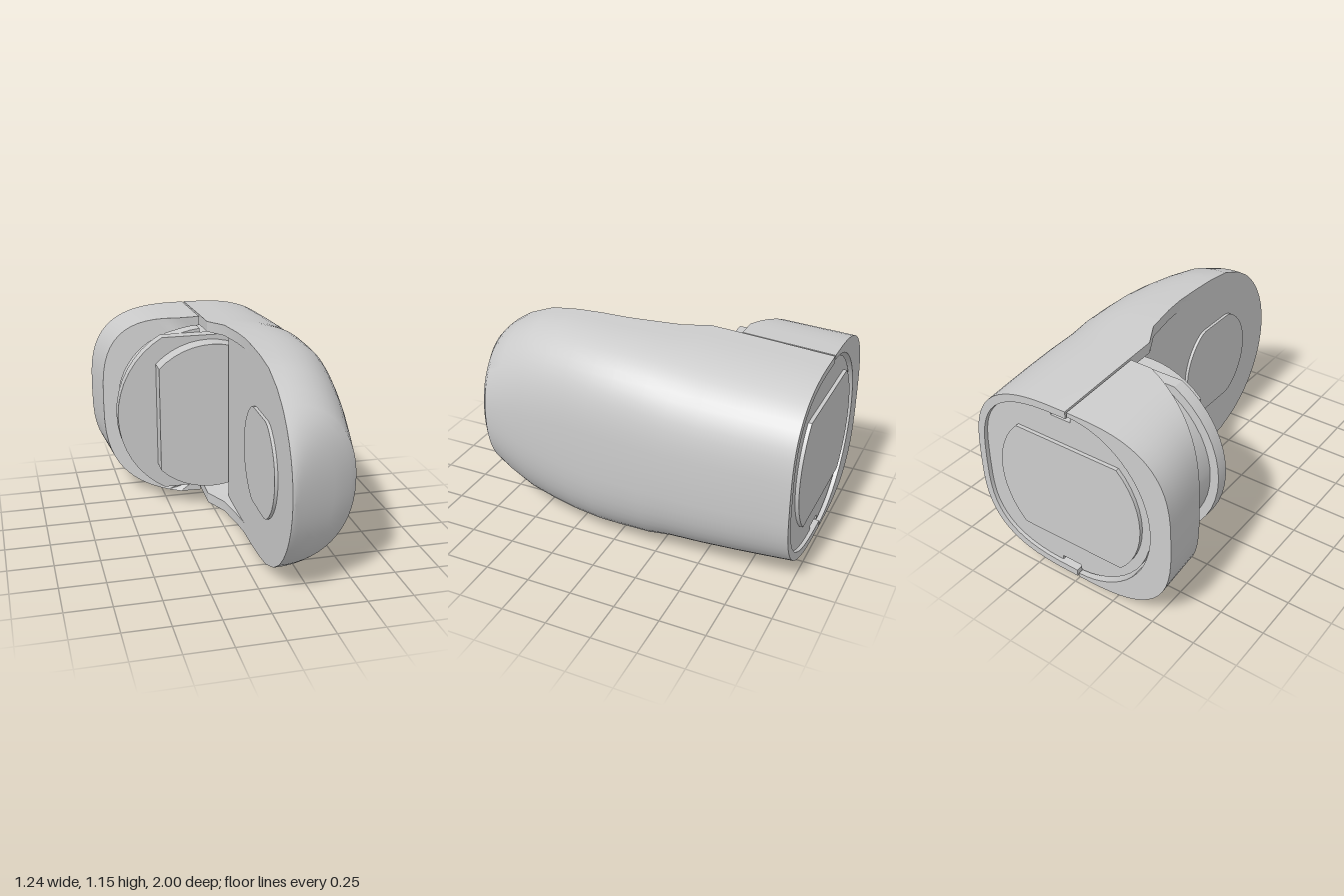
import * as THREE from 'three';
import { toCreasedNormals } from 'three/addons/utils/BufferGeometryUtils.js';

const CY = 0.575; // height of the long axis
const SEG = 30;
const mat = new THREE.MeshStandardMaterial({ color: 0xcccccc, side: THREE.DoubleSide });

// Piecewise linear lookup in a list of [position, value]
function lookup(table, p) {
  for (let i = 1; i < table.length; i++) {
    const [a, va] = table[i - 1], [b, vb] = table[i];
    if (p <= b) return THREE.MathUtils.lerp(va, vb, Math.max(0, (p - a) / (b - a)));
  }
  return table[table.length - 1][1];
}

// Half superellipse from bottom to top, bulging towards +x (dir 1) or -x (dir -1)
function halfOval(x0, x1, h, n) {
  const pts = [];
  for (let i = 0; i <= SEG; i++) {
    const t = -Math.PI / 2 + Math.PI * i / SEG;
    const c = Math.max(0, Math.cos(t)), s = Math.sin(t);
    pts.push([x0 + (x1 - x0) * Math.pow(c, 2 / n), CY + Math.sign(s) * h * Math.pow(Math.abs(s), 2 / n)]);
  }
  return pts;
}

// Skin closed rings (an outer arc followed by a reversed inner arc) and cap both ends
function loft(rings) {
  const m = rings[0].length, pos = [], idx = [];
  rings.forEach(r => r.forEach(p => pos.push(...p)));
  const quad = (a, b, c, d) => idx.push(a, b, c, a, c, d);
  for (let k = 0; k < rings.length - 1; k++)
    for (let i = 0; i < m; i++) {
      const j = (i + 1) % m;
      quad(k * m + i, k * m + j, (k + 1) * m + j, (k + 1) * m + i);
    }
  const e = (rings.length - 1) * m;
  for (let i = 0; i < m / 2 - 1; i++) {
    quad(i, m - 1 - i, m - 2 - i, i + 1);
    quad(e + i, e + i + 1, e + m - 2 - i, e + m - 1 - i);
  }
  const g = new THREE.BufferGeometry();
  g.setAttribute('position', new THREE.Float32BufferAttribute(pos, 3));
  g.setIndex(idx);
  return toCreasedNormals(g, 0.45);
}

function extrude(pts, depth) {
  const shape = new THREE.Shape(pts.map(p => new THREE.Vector2(p[0], p[1])));
  const g = new THREE.ExtrudeGeometry(shape, { depth, bevelEnabled: false });
  return toCreasedNormals(g, 0.45);
}

// Circle with flats at x = +-cx and y = +-cy
function clippedCircle(r, cx, cy) {
  const angles = [];
  for (let i = 0; i < 48; i++) angles.push(i / 48 * Math.PI * 2);
  const c = THREE.MathUtils.clamp;
  return angles.map(a => [c(r * Math.cos(a), -cx, cx), CY + c(r * Math.sin(a), -cy, cy)]);
}

// Long body outlines
const innerEdge = [[-1, -0.02], [-0.33, -0.02], [-0.2, 0.05], [-0.02, 0.08], [0.1, 0.092], [1, 0.092]];
const outerEdge = [[-1, 0.59], [-0.75, 0.61], [-0.5, 0.62], [-0.2, 0.618], [0.1, 0.6], [0.5, 0.54], [0.786, 0.49], [0.82, 0.45], [1, 0.1]];
const halfHeight = [[-1, 0.525], [-0.6, 0.55], [-0.2, 0.572], [0, 0.575], [0.25, 0.572], [0.4, 0.565]];
const roundness = [[-1, 3], [0.2, 3], [0.8, 2.2], [1, 2]];
const heightAt = z => z <= 0.4 ? lookup(halfHeight, z)
  : Math.max(0.008, 0.565 * Math.sqrt(Math.max(0, 1 - ((z - 0.4) / 0.6) ** 2)));
const bodyZ = [-1, -0.85, -0.7, -0.5, -0.33, -0.2, -0.02, 0.1, 0.25, 0.4,
  ...[15, 30, 40, 44.5, 52, 60, 68, 75, 82, 90].map(a => 0.4 + 0.6 * Math.sin(a * Math.PI / 180))];

function bodyShell() {
  return loft(bodyZ.map(z => {
    const x0 = lookup(innerEdge, z), x1 = lookup(outerEdge, z), h = heightAt(z), n = lookup(roundness, z);
    const wall = z < -0.9 ? 0.04 : 0.06;
    const outer = halfOval(x0, x1, h, n);
    const inner = halfOval(x0, Math.max(x1 - wall, x0 + 0.3 * (x1 - x0)), Math.max(h - wall, 0.3 * h), n);
    return [...outer, ...inner.reverse()].map(p => [p[0], p[1], z]);
  }));
}

// Flat inner wall of the long body
function innerPanel() {
  const zs = [-0.27, ...bodyZ.filter(z => z > -0.25)];
  const low = zs.map(z => [z, CY - heightAt(z) + Math.min(0.015, heightAt(z) / 2)]);
  const high = zs.map(z => [z, CY + heightAt(z) - Math.min(0.015, heightAt(z) / 2)]).reverse();
  return extrude([...low, ...high], 0.002).rotateY(-Math.PI / 2).translate(0.094, 0, 0);
}

// Crescent shell with a slanted front
function sideCap() {
  const front = [[-0.62, -0.725], [-0.59, -0.71], [-0.16, -0.5], [0, -0.5]];
  const rings = [];
  for (let k = 0; k <= 4; k++) {
    const t = k / 4;
    const outer = halfOval(-0.03, -THREE.MathUtils.lerp(0.62, 0.585, t), THREE.MathUtils.lerp(0.525, 0.553, t), 3);
    const inner = halfOval(-0.03, -0.5, 0.5, 2);
    // top to bottom so that the faces point outwards
    rings.push([...outer.reverse(), ...inner].map(p => [p[0], p[1], THREE.MathUtils.lerp(-1, lookup(front, p[0]), t)]));
  }
  return loft(rings);
}

// Plug core: round on one side, filling the shell on the other, notched at top and bottom
function plugOutline() {
  const right = halfOval(0.09, 0.545, 0.48, 3);
  const left = [];
  for (let i = 0; i <= 24; i++) {
    const a = Math.PI / 2 + 0.07 + (Math.PI - 0.14) * i / 24;
    left.push([0.49 * Math.cos(a), CY + 0.49 * Math.sin(a)]);
  }
  return [...right, [0.09, CY + 0.455], [-0.03, CY + 0.455], ...left, [-0.03, CY - 0.455], [0.09, CY - 0.455]];
}

export function createModel() {
  const group = new THREE.Group();
  const add = (name, geometry, z = 0) => {
    const mesh = new THREE.Mesh(geometry, mat);
    mesh.name = name;
    mesh.position.z = z;
    group.add(mesh);
  };

  add('bodyShell', bodyShell());
  add('innerPanel', innerPanel());
  add('sideCap', sideCap());

  // Raised pad on the inner panel
  const pad = clippedCircle(0.3, 0.3, 0.27).map(p => [p[0] + 0.45, p[1]]);
  add('panelPad', extrude(pad, 0.017).rotateY(-Math.PI / 2).translate(0.092, 0, 0));

  // Plug held between the body and the cap
  add('plugCore', extrude(plugOutline(), 0.51), -0.98);
  add('plugFlange', extrude(clippedCircle(0.54, 0.54, 0.467), 0.07), -0.47);
  add('frontBoss', extrude(clippedCircle(0.44, 0.31, 0.44), 0.11), -0.4);
  add('backBoss', extrude(clippedCircle(0.44, 0.44, 0.31), 0.02), -1);
  return group;
}
